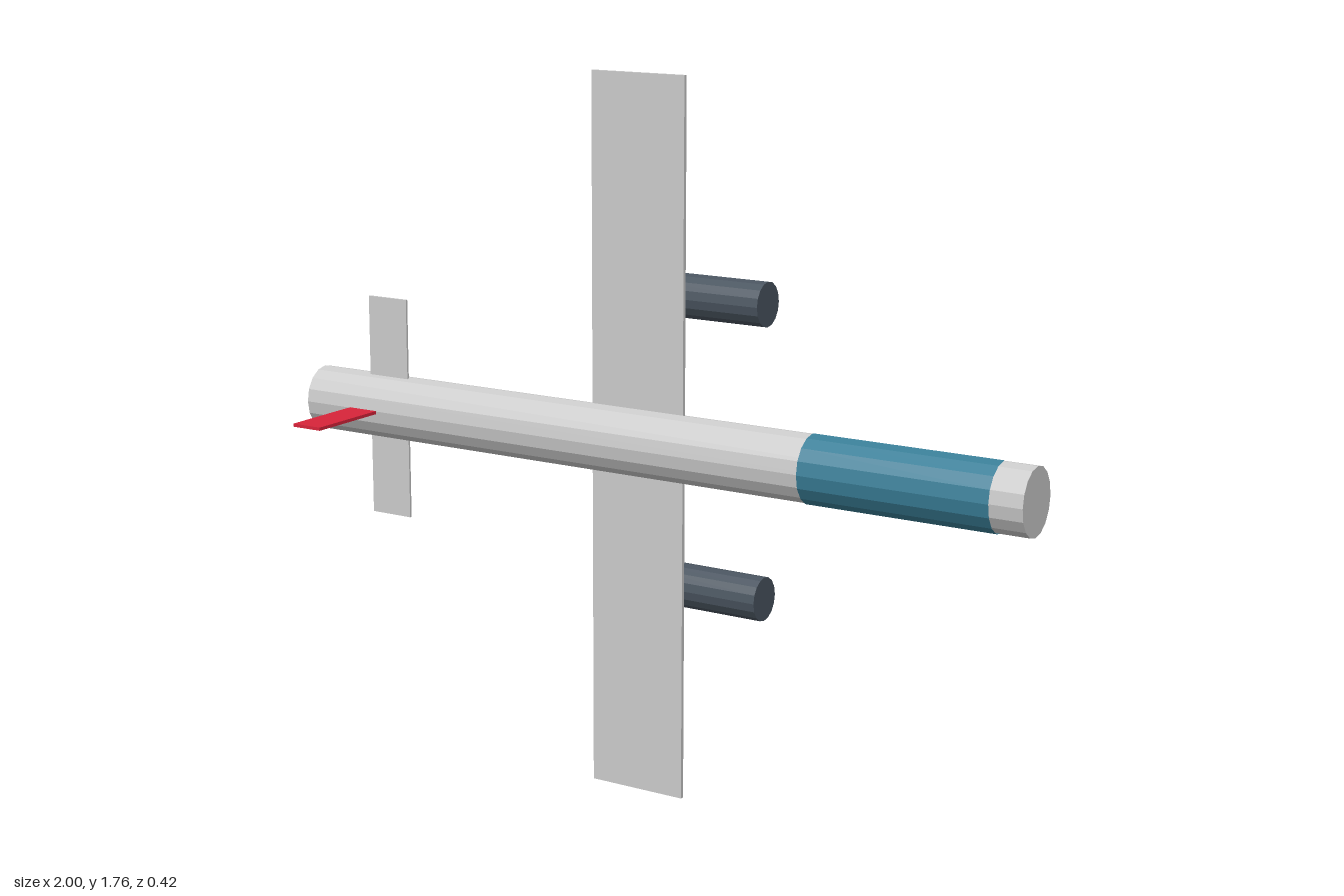
import * as THREE from 'three';

const AXIS_Y = 0.882, AXIS_Z = -0.092;

function material(color) {
  return new THREE.MeshStandardMaterial({ color, flatShading: true, side: THREE.DoubleSide });
}

export function createModel() {
  const model = new THREE.Group();
  const grey = material(0xcccccc);
  const glass = material(0x3a7f98);
  const dark = material(0x4a5560);
  const red = material(0xd8243a);

  function add(name, geometry, mat) {
    const mesh = new THREE.Mesh(geometry, mat);
    mesh.name = name;
    model.add(mesh);
  }

  // Box given by its ranges on each axis
  function slab(name, [x0, x1], [y0, y1], [z0, z1], mat) {
    const g = new THREE.BoxGeometry(x1 - x0, y1 - y0, z1 - z0);
    g.translate((x0 + x1) / 2, (y0 + y1) / 2, (z0 + z1) / 2);
    add(name, g, mat);
  }

  // Slightly oval cylinder lying along x; "half" keeps only the +z shell
  function tube(name, [x0, x1], y, z, ry, rz, sides, mat, half = false) {
    const g = half
      ? new THREE.CylinderGeometry(1, 1, x1 - x0, sides / 2, 1, true, -Math.PI / 2, Math.PI)
      : new THREE.CylinderGeometry(1, 1, x1 - x0, sides);
    g.rotateZ(-Math.PI / 2);
    g.scale(1, ry, rz);
    g.translate((x0 + x1) / 2, y, z);
    add(name, g, mat);
  }

  // Body with the cockpit shell wrapped over its +z side
  tube('fuselage', [-1, 1], AXIS_Y, AXIS_Z, 0.082, 0.073, 16, grey);
  tube('canopy', [0.44, 0.92], AXIS_Y, AXIS_Z, 0.084, 0.077, 16, glass, true);

  // Flying surfaces
  slab('wing', [-0.17, 0.087], [0, 1.764], [-0.105, -0.095], grey);
  slab('tailplane', [-0.84, -0.722], [0.6, 1.164], [-0.085, -0.079], grey);
  slab('fin', [-0.853, -0.77], [AXIS_Y - 0.004, AXIS_Y + 0.004], [-0.009, 0.212], red);

  // Mirrored engines
  for (const [side, name] of [[1, 'upperEngine'], [-1, 'lowerEngine']]) {
    tube(name, [-0.04, 0.278], AXIS_Y + side * 0.357, -0.16, 0.054, 0.051, 16, dark);
  }

  return model;
}
